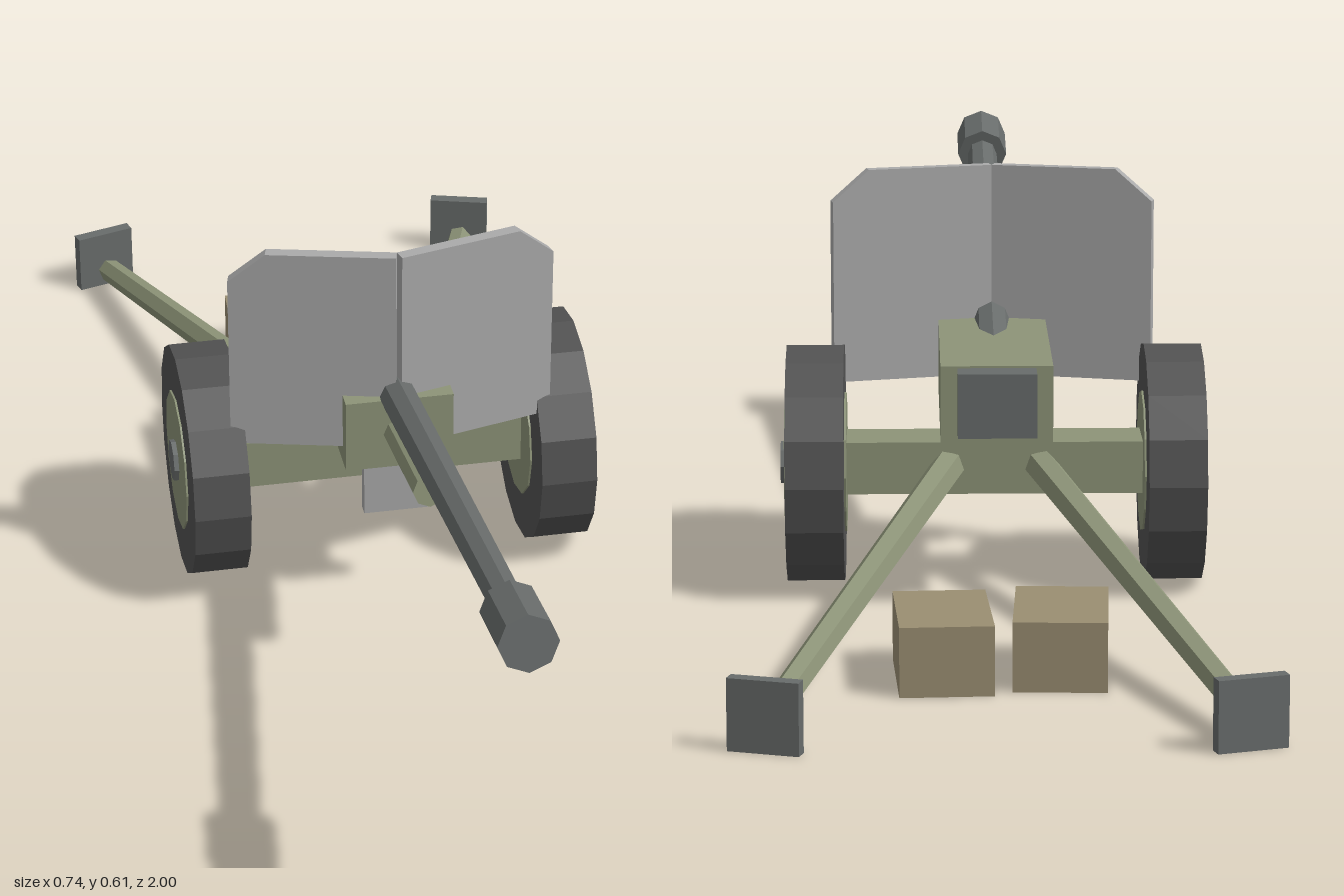
import * as THREE from 'three';

const mat = (color, extra = {}) => new THREE.MeshStandardMaterial({ color, flatShading: true, ...extra });

export function createModel() {
  const model = new THREE.Group();
  model.name = 'fieldGun';
  const green = mat(0x8d9478), steel = mat(0x686c6b), rubber = mat(0x525252);
  const plate = mat(0xaaaaaa), wood = mat(0x9a8e72);

  const add = (name, geometry, material, x = 0, y = 0, z = 0, parent = model) => {
    const mesh = new THREE.Mesh(geometry, material);
    mesh.name = name;
    mesh.position.set(x, y, z);
    parent.add(mesh);
    return mesh;
  };
  const box = (name, w, h, d, material, x, y, z) =>
    add(name, new THREE.BoxGeometry(w, h, d), material, x, y, z);

  // Tapered rod between two points
  const rod = (name, a, b, ra, rb, sides, material) => {
    const dir = b.clone().sub(a), mid = a.clone().add(b).multiplyScalar(0.5);
    const mesh = add(name, new THREE.CylinderGeometry(rb, ra, dir.length(), sides), material, mid.x, mid.y, mid.z);
    mesh.quaternion.setFromUnitVectors(new THREE.Vector3(0, 1, 0), dir.normalize());
    return mesh;
  };

  // Carriage
  box('axle', 0.5, 0.08, 0.095, green, 0, 0.184, -0.088);
  box('cradle', 0.166, 0.118, 0.4, green, 0, 0.314, -0.086);
  box('breech', 0.116, 0.096, 0.07, steel, 0, 0.322, -0.296);

  // Barrel, muzzle and recoil cylinder share one 10 degree slope
  const slope = Math.tan(THREE.MathUtils.degToRad(10));
  const onAxis = (z, drop = 0) => new THREE.Vector3(0, 0.353 + slope * z - drop, z);
  rod('barrel', onAxis(-0.1), onAxis(0.9), 0.03, 0.025, 8, steel);
  rod('muzzle', onAxis(0.88), onAxis(0.992), 0.042, 0.042, 8, steel);
  rod('recoilCylinder', onAxis(0.05, 0.06), onAxis(0.343, 0.06), 0.025, 0.025, 8, green);

  // Shield: two swept-back halves and an apron below
  for (const s of [1, -1]) {
    const w = 0.252;
    const outline = new THREE.Shape([
      [0, 0.283], [w, 0.283], [w, 0.565], [0.195, 0.613], [0, 0.613],
    ].map(([x, y]) => new THREE.Vector2(s * x, y)));
    const geometry = new THREE.ExtrudeGeometry(outline, { depth: 0.019, bevelEnabled: false });
    const half = add(s > 0 ? 'leftShield' : 'rightShield', geometry, plate, 0, 0, 0.088);
    half.rotation.y = s * 0.245;
  }
  box('shieldApron', 0.106, 0.13, 0.019, plate, 0, 0.232, 0.093);

  for (const s of [1, -1]) {
    const side = s > 0 ? 'left' : 'right';

    // Wheel: tyre, disc and hub cap
    const wheel = new THREE.Group();
    wheel.name = side + 'Wheel';
    wheel.position.set(s * 0.271, 0.182, -0.081);
    wheel.rotation.z = -s * Math.PI / 2;
    model.add(wheel);
    add('tyre', new THREE.CylinderGeometry(0.182, 0.182, 0.087, 16), rubber, 0, 0, 0, wheel);
    add('disc', new THREE.CylinderGeometry(0.109, 0.109, 0.093, 12), green, 0, 0, 0, wheel);
    add('hubCap', new THREE.CylinderGeometry(0.033, 0.033, 0.108, 8), steel, 0, 0, 0, wheel);

    // Trail leg with its ground spade
    rod(side + 'Trail', new THREE.Vector3(s * 0.07, 0.187, -0.13),
      new THREE.Vector3(s * 0.315, 0.04, -0.945), 0.025, 0.02, 6, green);
    const spade = box(side + 'Spade', 0.1, 0.1, 0.02, steel, s * 0.32, 0.05, -0.976);
    spade.rotation.y = -s * 0.29;

    // Ammunition crate
    const crate = box(side + 'Crate', 0.132, 0.1, 0.195, wood, s * 0.083, 0.05, s > 0 ? -0.632 : -0.613);
    crate.rotation.y = s * 0.05;
  }
  return model;
}
